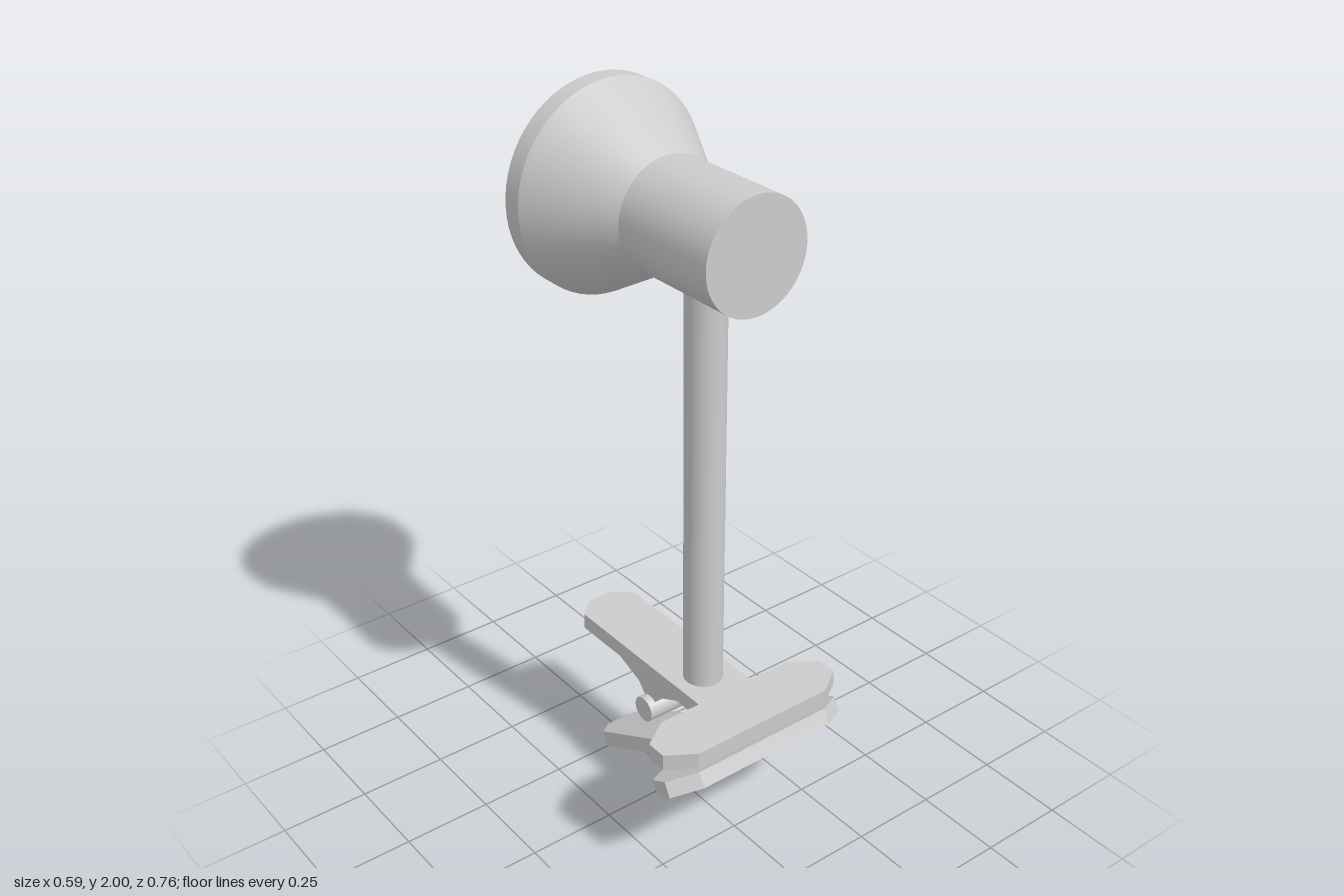
import * as THREE from 'three';
import { mergeGeometries } from 'three/addons/utils/BufferGeometryUtils.js';

const grey = new THREE.MeshStandardMaterial({ color: 0xcccccc });
grey.name = 'lightGrey';

function add(parent, name, geometry, x = 0, y = 0, z = 0) {
  const mesh = new THREE.Mesh(geometry, grey);
  mesh.name = name;
  mesh.position.set(x, y, z);
  parent.add(mesh);
  return mesh;
}

// Closed shape from one half outline, mirrored in x
function mirroredShape(half) {
  const other = half.map(([x, y]) => [-x, y]).reverse();
  return new THREE.Shape([...half, ...other].map(([x, y]) => new THREE.Vector2(x, y)));
}

// T-shaped clamp plate lying flat: wide jaw at +z, narrow handle at -z
function plateGeometry(thickness) {
  const half = [[0.215, -0.36], [0.293, -0.31], [0.293, -0.252], [0.215, -0.2],
    [0.09, -0.2], [0.09, 0.328], [0.042, 0.375]];
  return new THREE.ExtrudeGeometry(mirroredShape(half), { depth: thickness, bevelEnabled: false })
    .rotateX(-Math.PI / 2);
}

// Hollow lamp head; each profile segment is its own lathe so edges stay sharp
function headGeometry() {
  const profile = [[0, 0.22], [0.12, 0.22], [0.12, -0.04], [0.25, -0.27], [0.25, -0.325],
    [0.28, -0.325], [0.28, -0.27], [0.15, -0.04], [0.15, 0.29], [0, 0.29]]
    .map(([r, z]) => new THREE.Vector2(r, z));
  const bands = [];
  for (let i = 0; i < profile.length - 1; i++) {
    bands.push(new THREE.LatheGeometry([profile[i], profile[i + 1]], 64));
  }
  return mergeGeometries(bands).rotateX(Math.PI / 2);
}

export function createModel() {
  const lamp = new THREE.Group();
  lamp.name = 'clampLamp';

  // Head and pole
  add(lamp, 'lampHead', headGeometry(), 0, 1.722, 0);
  add(lamp, 'pole', new THREE.CylinderGeometry(0.054, 0.054, 1.16, 40), 0, 1.015, 0.105);

  // Clamp plates, the lower one tilted open
  const clamp = new THREE.Group();
  clamp.name = 'clamp';
  lamp.add(clamp);
  add(clamp, 'upperPlate', plateGeometry(0.047), 0, 0.392, 0);
  const lower = add(clamp, 'lowerPlate', plateGeometry(0.045), 0, 0.174, 0.062);
  lower.rotation.x = -THREE.MathUtils.degToRad(27.3);

  // Two hinge ribs under the upper plate
  const rib = new THREE.Shape([[0.17, 0.394], [-0.11, 0.394], [-0.035, 0.357], [0, 0.322],
    [0.005, 0.295], [0.035, 0.295], [0.04, 0.322], [0.07, 0.357]]
    .map(([x, y]) => new THREE.Vector2(x, y)));
  const ribWidth = 0.02;
  for (const side of [-1, 1]) {
    const geometry = new THREE.ExtrudeGeometry(rib, { depth: ribWidth, bevelEnabled: false })
      .translate(0, 0, -ribWidth / 2).rotateY(Math.PI / 2);
    add(clamp, side > 0 ? 'leftHingeRib' : 'rightHingeRib', geometry, side * 0.078, 0, 0);
  }

  // Hinge pin
  add(clamp, 'hingePin', new THREE.CylinderGeometry(0.037, 0.037, 0.22, 32).rotateZ(Math.PI / 2),
    0, 0.297, -0.02);

  return lamp;
}
